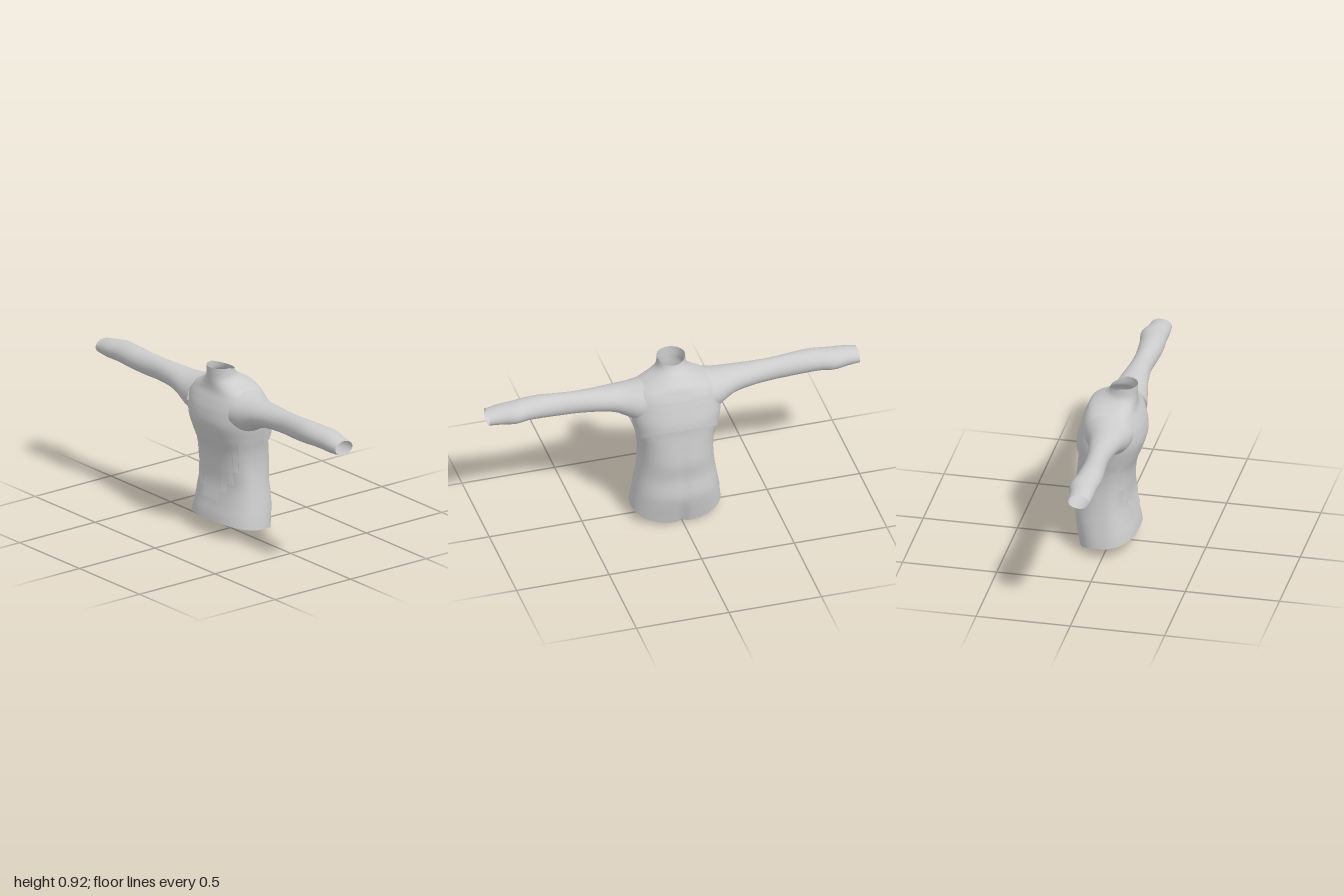
import * as THREE from 'three';

// Smooth interpolation through rows [key, a, b, ...]; returns [a, b, ...]
function sample(rows, t) {
  const last = rows.length - 1;
  t = Math.min(Math.max(t, rows[0][0]), rows[last][0]);
  let i = 0;
  while (i < last - 1 && t > rows[i + 1][0]) i++;
  const p = rows[i], q = rows[i + 1], h = q[0] - p[0], u = (t - p[0]) / h;
  const slope = (j, c) => {
    const a = rows[Math.max(j - 1, 0)], b = rows[Math.min(j + 1, last)];
    return (b[c] - a[c]) / (b[0] - a[0]);
  };
  return p.slice(1).map((v, k) => {
    const c = k + 1, u2 = u * u, u3 = u2 * u;
    return (2 * u3 - 3 * u2 + 1) * v + (u3 - 2 * u2 + u) * h * slope(i, c)
      + (3 * u2 - 2 * u3) * q[c] + (u3 - u2) * h * slope(i + 1, c);
  });
}

// Grid surface from point(u, v); closed joins the last column to the first
function surface(point, cols, rows, closed, flip) {
  const pos = [], idx = [], n = closed ? cols : cols + 1;
  for (let j = 0; j <= rows; j++)
    for (let i = 0; i < n; i++) pos.push(...point(i / cols, j / rows));
  for (let j = 0; j < rows; j++)
    for (let i = 0; i < cols; i++) {
      const a = j * n + i, b = j * n + (i + 1) % n, c = a + n, d = b + n;
      if (flip) idx.push(a, b, c, b, d, c);
      else idx.push(a, c, b, b, c, d);
    }
  const g = new THREE.BufferGeometry();
  g.setAttribute('position', new THREE.Float32BufferAttribute(pos, 3));
  g.setIndex(idx);
  g.computeVertexNormals();
  return g;
}

const lerp = THREE.MathUtils.lerp;
const bulge = (v, e) => Math.sign(v) * Math.abs(v) ** e;

// Torso: height, half width, front z, back z, z of widest point
const TORSO = [
  [0.00, 0.245, 0.16, -0.15, 0], [0.06, 0.24, 0.153, -0.162, 0],
  [0.12, 0.232, 0.143, -0.174, 0], [0.18, 0.222, 0.126, -0.181, 0],
  [0.28, 0.205, 0.106, -0.172, 0], [0.38, 0.195, 0.115, -0.178, 0],
  [0.47, 0.2, 0.13, -0.17, 0], [0.55, 0.218, 0.16, -0.162, 0],
  [0.63, 0.235, 0.183, -0.16, 0.005], [0.70, 0.24, 0.176, -0.148, 0.015],
  [0.75, 0.235, 0.158, -0.137, 0.025], [0.79, 0.205, 0.14, -0.12, 0.03],
  [0.82, 0.148, 0.136, -0.104, 0.035], [0.845, 0.103, 0.136, -0.065, 0.05],
  [0.865, 0.083, 0.136, -0.03, 0.06], [0.885, 0.077, 0.137, -0.012, 0.063],
  [0.92, 0.074, 0.138, 0.0, 0.067],
];

// Point on the torso at an angle (0 = left side, 90 degrees = front)
function torsoPoint(angle, y, offset = 0) {
  const [w, front, back, mid] = sample(TORSO, y);
  const c = Math.cos(angle), s = Math.sin(angle);
  const e = lerp(0.83, 1, THREE.MathUtils.smoothstep(y, 0.78, 0.87));
  const x = w * bulge(c, e);
  let z = mid + (s > 0 ? front - mid : mid - back) * bulge(s, e);
  // spine groove and cleft
  if (s < 0) {
    const groove = Math.exp(-((x / 0.022) ** 2));
    z += groove * (0.005 * Math.max(0, Math.sin(y * 5.4)) + 0.022 * Math.max(0, 1 - y / 0.14));
  }
  return [x + offset * c, y, z + offset * s];
}

// Sleeve: distance from centre, low y, high y, back z, front z
const SLEEVE = [
  [0.17, 0.60, 0.812, -0.11, 0.15], [0.22, 0.607, 0.804, -0.092, 0.142],
  [0.27, 0.632, 0.799, -0.068, 0.132], [0.32, 0.657, 0.797, -0.05, 0.122],
  [0.40, 0.673, 0.797, -0.035, 0.108], [0.52, 0.68, 0.798, -0.017, 0.097],
  [0.62, 0.681, 0.801, -0.012, 0.103], [0.72, 0.686, 0.805, -0.017, 0.112],
  [0.79, 0.69, 0.803, -0.023, 0.111], [0.86, 0.689, 0.799, -0.035, 0.106],
  [0.93, 0.691, 0.79, -0.019, 0.106], [1.0, 0.698, 0.776, -0.012, 0.1],
];

export function createModel() {
  const model = new THREE.Group();
  const cloth = new THREE.MeshStandardMaterial({ color: 0xcccccc });
  cloth.name = 'light grey cloth';
  cloth.side = THREE.DoubleSide;
  const add = (name, geometry) => {
    const mesh = new THREE.Mesh(geometry, cloth);
    mesh.name = name;
    model.add(mesh);
  };

  // Open torso with a slanting hem and collar
  add('torso', surface((u, v) => {
    const a = u * Math.PI * 2, s = Math.sin(a);
    const hem = s > 0 ? lerp(0.06, 0.085, s) : lerp(0.06, 0.005, s * s);
    const rim = s > 0 ? 0.92 : 0.92 + 0.022 * s;
    return torsoPoint(a, lerp(hem, rim, v));
  }, 96, 90, true));

  // Upper back yoke overlapping the lower back
  add('backYoke', surface((u, v) => {
    const a = lerp(Math.PI * 1.06, Math.PI * 1.94, u);
    const hem = lerp(0.49, 0.6, Math.abs(Math.sin(a)) ** 1.2);
    return torsoPoint(a, lerp(hem, 0.77, v), lerp(0.014, -0.003, v));
  }, 60, 16, false));

  // Front panel with a stepped hem, hanging slightly free
  const frontStep = (x) => {
    const d = Math.abs(x);
    return d < 0.06 ? 0.2 : d < 0.1 ? 0.25 : d < 0.14 ? 0.3 : d < 0.165 ? 0.37 : 0.46;
  };
  add('frontPanel', surface((u, v) => {
    const a = lerp(Math.PI * 0.14, Math.PI * 0.86, u);
    const hem = frontStep(torsoPoint(a, 0.35)[0]);
    const y = lerp(hem, 0.58, v);
    const lift = 0.015 * (1 - THREE.MathUtils.smoothstep(y, 0.2, 0.42));
    return torsoPoint(a, y, lift + lerp(0.003, -0.002, v));
  }, 140, 20, false));

  const sideStep = (z) =>
    z > 0.07 ? 0.23 : z > 0 ? 0.19 : z > -0.07 ? 0.125 : z > -0.1 ? 0.18 : 0.23;

  for (const side of [1, -1]) {
    const label = side > 0 ? 'left' : 'right';
    const mirrored = ([x, y, z]) => [side * x, y, z];

    // Sleeve flaring into the shoulder, open at the cuff
    add(label + 'Sleeve', surface((u, v) => {
      const a = u * Math.PI * 2, x = lerp(0.17, 1, v);
      const [low, high, back, front] = sample(SLEEVE, x);
      return [side * x, (low + high) / 2 + (high - low) / 2 * Math.sin(a),
        (front + back) / 2 + (front - back) / 2 * Math.cos(a)];
    }, 40, 60, true, side < 0));

    // Stepped panel on the flank
    add(label + 'SidePanel', surface((u, v) => {
      const a = lerp(-0.85, 0.75, u);
      const hem = sideStep(torsoPoint(a, 0.3)[2]);
      const y = lerp(hem, lerp(0.5, 0.47, u), v);
      return mirrored(torsoPoint(a, y, 0.003));
    }, 90, 20, false, side < 0));
  }
  return model;
}
